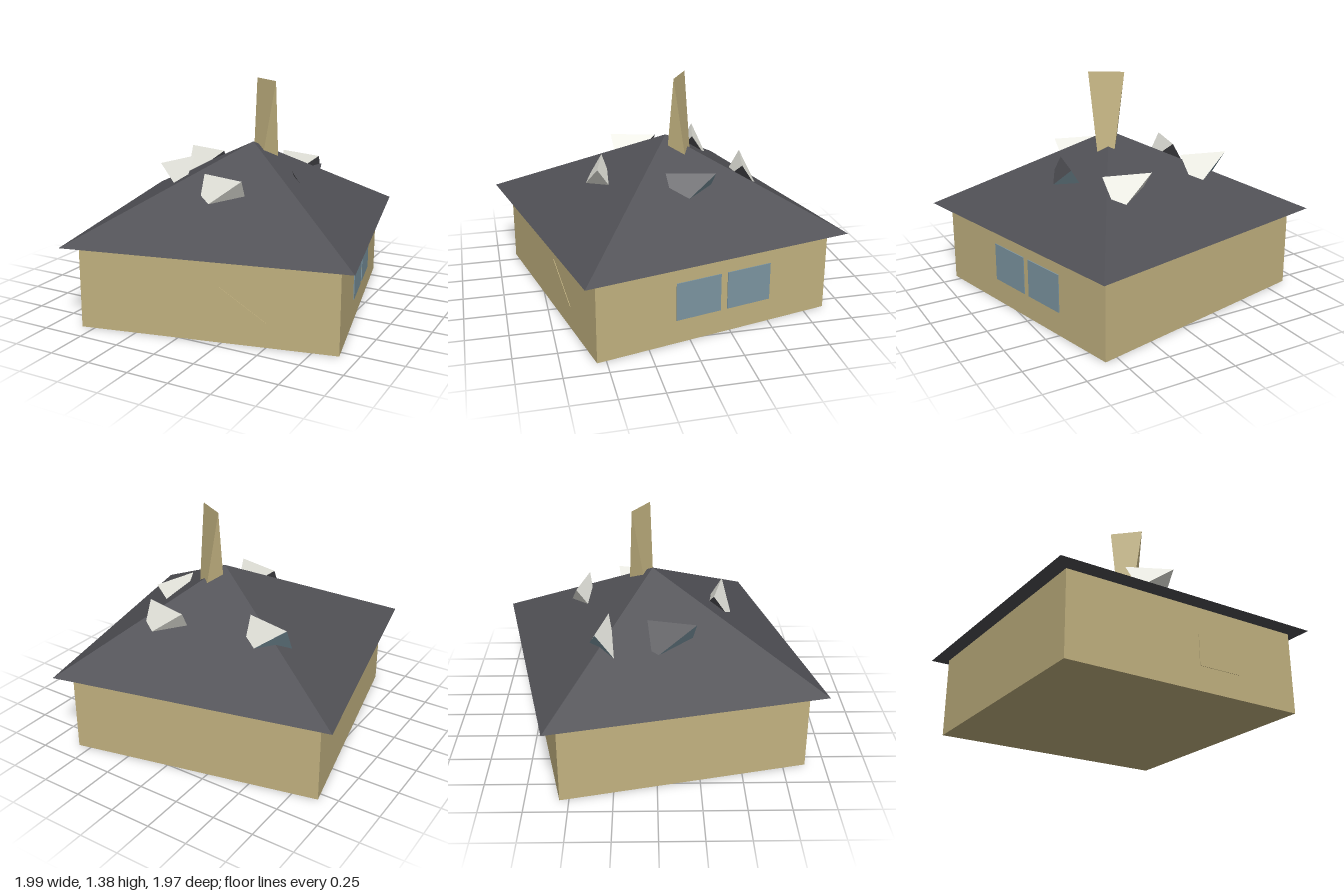
import * as THREE from 'three';

const mat = (name, color, side = THREE.FrontSide) => {
  const m = new THREE.MeshStandardMaterial({ color, side });
  m.name = name;
  return m;
};

// Flat-faced geometry from triangles; each triangle is its own material group
function facets(points, faces) {
  const g = new THREE.BufferGeometry();
  const pos = faces.flatMap((f) => f.flatMap((i) => points[i]));
  g.setAttribute('position', new THREE.Float32BufferAttribute(pos, 3));
  faces.forEach((f, i) => g.addGroup(i * 3, 3, i));
  g.computeVertexNormals();
  return g;
}

// Twisted wedge: top edge on one diagonal, bottom edge on the other.
// Faces in order: outer, left end, inner, right end
function wedge(w, h, d) {
  const x = w / 2, z = d / 2;
  return facets(
    [[x, h, z], [-x, h, -z], [-x, 0, z], [x, 0, -z]],
    [[1, 2, 0], [0, 2, 3], [0, 3, 1], [1, 3, 2]]
  );
}

export function createModel() {
  const sand = mat('sandWall', 0xc2b280);
  const slate = mat('slateRoof', 0x505055);
  const glass = mat('blueGlass', 0x7c96a2);
  const white = mat('whiteTrim', 0xe8e8e0);

  const model = new THREE.Group();
  const house = new THREE.Group();
  house.name = 'house';
  house.rotation.y = 0.22;
  model.add(house);

  const add = (name, geo, material, x = 0, y = 0, z = 0, turn = 0) => {
    const m = new THREE.Mesh(geo, material);
    m.name = name;
    m.position.set(x, y, z);
    m.rotation.y = turn;
    house.add(m);
    return m;
  };

  // Walls
  add('walls', new THREE.BoxGeometry(1.512, 0.49, 1.472), sand, 0, 0.245, 0);

  // Roof pyramid with an off-centre peak
  const rx = 0.838, rz = 0.822;
  const roof = facets(
    [[-rx, 0, rz], [rx, 0, rz], [rx, 0, -rz], [-rx, 0, -rz], [0.08, 0.505, 0]],
    [[0, 1, 4], [1, 2, 4], [2, 3, 4], [3, 0, 4], [0, 3, 2], [0, 2, 1]]
  );
  roof.clearGroups();
  add('roof', roof, slate, 0, 0.5, 0);

  // Chimney
  const chimney = wedge(0.152, 0.895, 0.147);
  chimney.clearGroups();
  add('chimney', chimney, sand, 0.146, 0.485, -0.055);

  // Dormers: x, z, turn, then outer, left, inner and right face colours
  const q = Math.PI / 2;
  [
    ['frontDormer', 0.003, 0.4, 0, [white, white, white, slate]],
    ['leftDormer', 0.415, 0, q, [slate, glass, white, slate]],
    ['rightDormer', -0.41, 0, -q, [slate, glass, white, slate]],
    ['backLeftDormer', 0.295, -0.4, 2 * q, [white, white, white, slate]],
    ['backRightDormer', -0.335, -0.395, 2 * q, [white, glass, white, slate]],
  ].forEach(([name, x, z, turn, mats]) =>
    add(name, wedge(0.26, 0.193, 0.13), mats, x, 0.672, z, turn));

  // Pair of windows on the left wall
  for (const z of [0.117, -0.206])
    add('window', new THREE.BoxGeometry(0.008, 0.23, 0.28), glass, 0.757, 0.26, z);

  // Thin wedge-shaped panel on the front wall
  const panel = new THREE.Shape([
    new THREE.Vector2(0.08, 0.145),
    new THREE.Vector2(0.35, 0.145),
    new THREE.Vector2(0.08, 0.33),
  ]);
  add('frontPanel', new THREE.ExtrudeGeometry(panel, { depth: 0.004, bevelEnabled: false }),
    sand, 0, 0, 0.735);

  return model;
}
